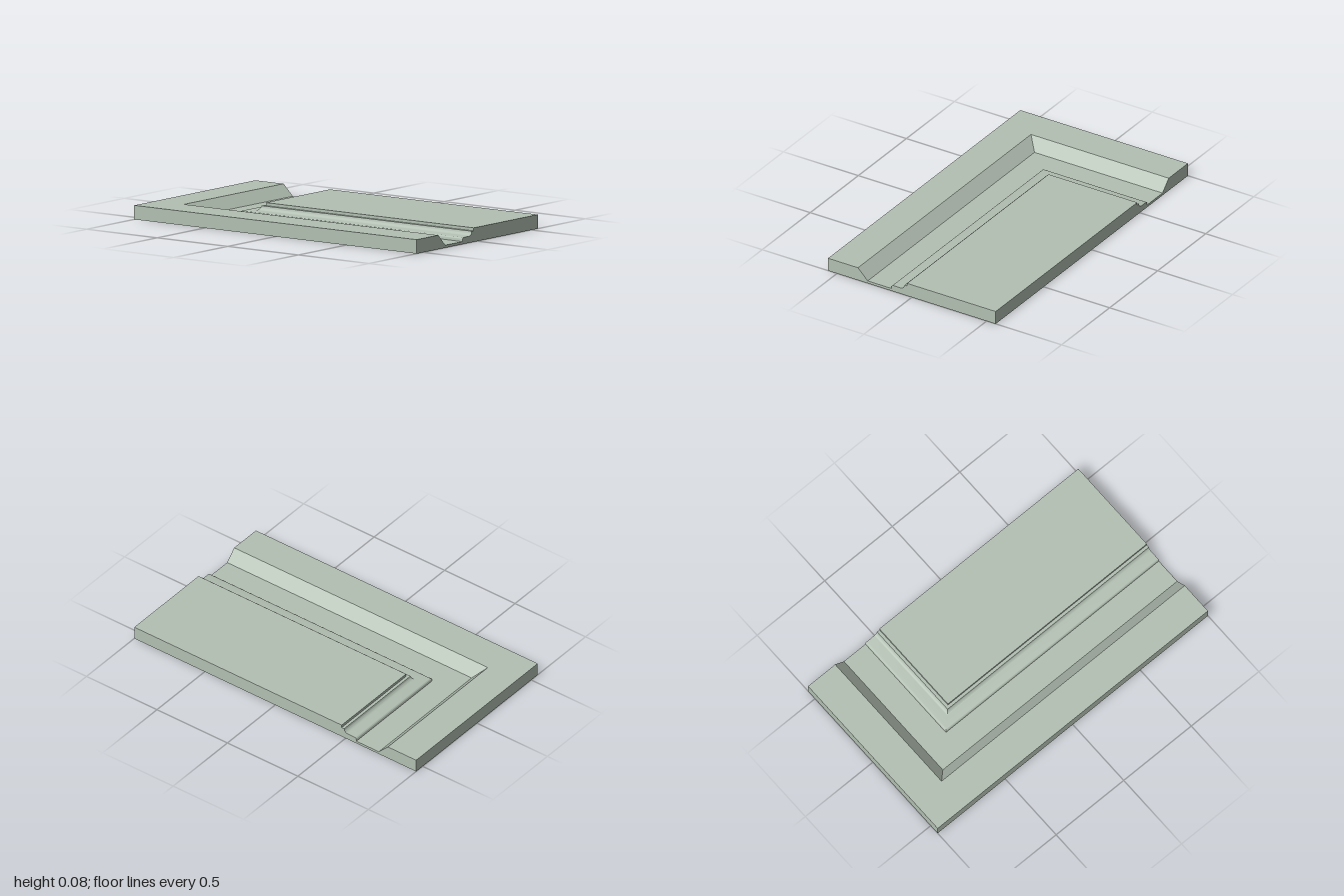
import * as THREE from 'three';
import { toCreasedNormals } from 'three/addons/utils/BufferGeometryUtils.js';

const HX = 1, HZ = 0.56, TOP = 0.08;

// Quarter curve between two profile points, bulging towards the control corner
function quarter(cx, cy, rx, ry, from, to, steps = 8) {
  const pts = [];
  for (let i = 0; i <= steps; i++) {
    const a = from + (to - from) * i / steps;
    pts.push([cx + rx * Math.cos(a), cy + ry * Math.sin(a)]);
  }
  return pts;
}

// Moulding profile: [distance inward from the outer edge, height]
const profile = [
  [0, 0], [0, TOP], [0.2, TOP], [0.265, 0.015], [0.424, 0.015],
  ...quarter(0.437, 0.024, 0.013, 0.0135, Math.PI, Math.PI / 2),
  ...quarter(0.484, 0.063, 0.026, 0.0255, -Math.PI / 2, 0),
  [0.528, 0.063], [0.528, TOP],
];

// Mitred sweep: back end, front left corner, right end
const ring = ([d, y]) => [[-HX + d, y, -HZ], [-HX + d, y, HZ - d], [HX, y, HZ - d]];

function sweptSurface() {
  const pos = [];
  const quad = (a, b, c, d) => pos.push(...a, ...b, ...c, ...a, ...c, ...d);
  const rings = profile.map(ring);
  for (let i = 0; i < rings.length - 1; i++) {
    for (let j = 0; j < 2; j++) {
      quad(rings[i][j], rings[i][j + 1], rings[i + 1][j + 1], rings[i + 1][j]);
    }
  }
  // raised field and underside
  quad(...rings[rings.length - 1], [HX, TOP, -HZ]);
  quad([HX, 0, -HZ], rings[0][2], rings[0][1], rings[0][0]);
  const geo = new THREE.BufferGeometry();
  geo.setAttribute('position', new THREE.Float32BufferAttribute(pos, 3));
  return toCreasedNormals(geo, 0.5);
}

// Cut face showing the profile, in a flat plane facing +z
function cutFace(length, mapX) {
  const outline = [...profile, [length, TOP], [length, 0]];
  return new THREE.ShapeGeometry(new THREE.Shape(outline.map(([d, y]) => new THREE.Vector2(mapX(d), y))));
}

export function createModel() {
  const group = new THREE.Group();
  group.name = 'panelCorner';
  const material = new THREE.MeshStandardMaterial({ color: 0xb3c0b3 });
  const add = (name, geo) => {
    const mesh = new THREE.Mesh(geo, material);
    mesh.name = name;
    group.add(mesh);
  };

  add('mouldedPanel', sweptSurface());
  add('rightCutFace', cutFace(2 * HZ, d => d - HZ).rotateY(Math.PI / 2).translate(HX, 0, 0));
  add('backCutFace', cutFace(2 * HX, d => HX - d).rotateY(Math.PI).translate(0, 0, -HZ));
  return group;
}
